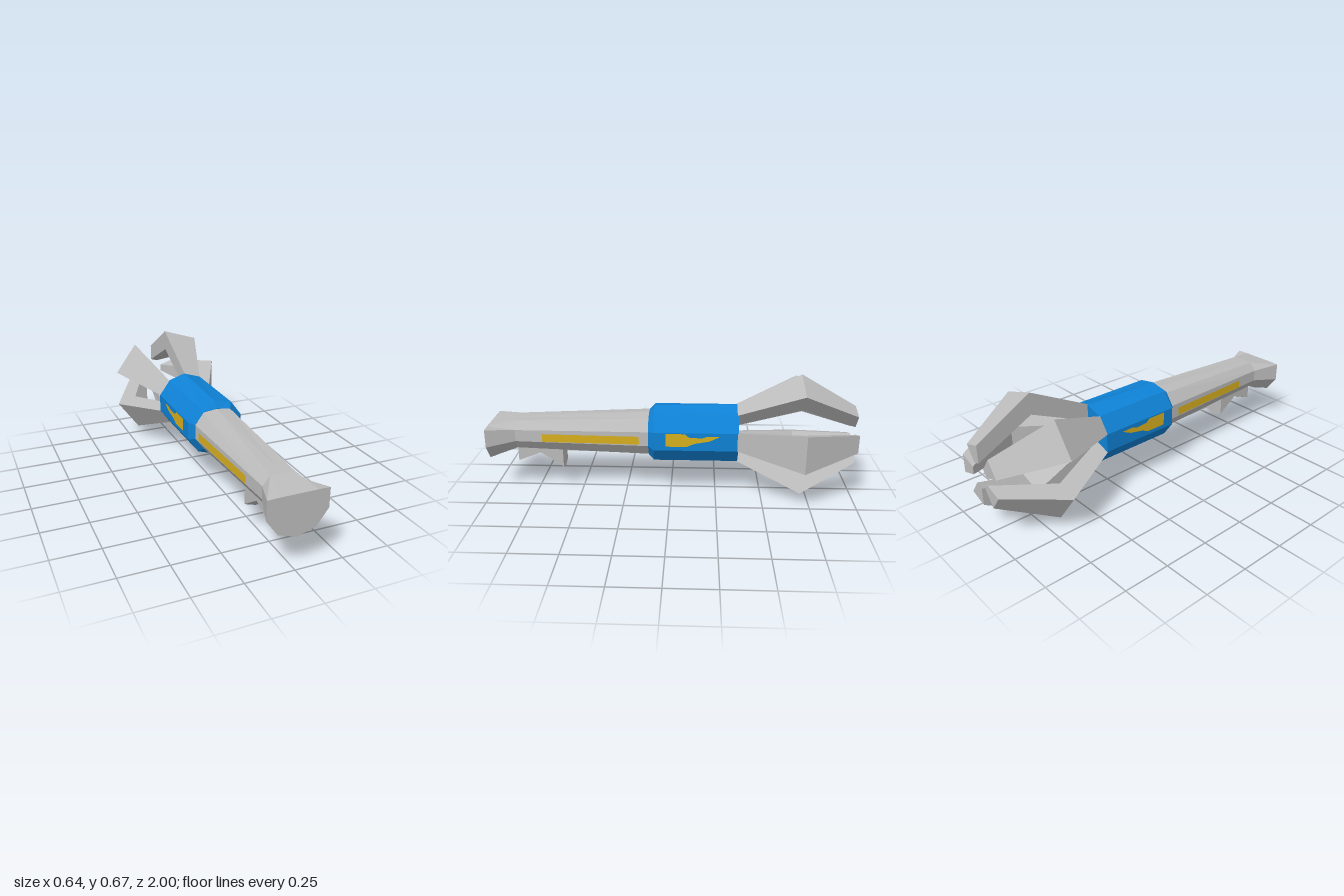
import * as THREE from 'three';

const CY = 0.339; // height of the long axis
const R = 0.163;  // main ten-sided radius

const flat = (name, color, side = THREE.FrontSide) => {
  const m = new THREE.MeshStandardMaterial({ color, side, flatShading: true });
  m.name = name;
  return m;
};

// Skin a list of matching cross-sections (counter-clockwise, front to back) and cap both ends.
function loft(rings) {
  const pos = [];
  const tri = (a, b, c) => pos.push(...a, ...b, ...c);
  const n = rings[0].length;
  for (let r = 0; r < rings.length - 1; r++) {
    const A = rings[r], B = rings[r + 1];
    for (let i = 0; i < n; i++) {
      const j = (i + 1) % n;
      tri(A[i], B[i], A[j]);
      tri(A[j], B[i], B[j]);
    }
  }
  const first = rings[0], last = rings[rings.length - 1];
  for (let i = 1; i < n - 1; i++) {
    tri(first[0], first[i], first[i + 1]);
    tri(last[0], last[i + 1], last[i]);
  }
  const g = new THREE.BufferGeometry();
  g.setAttribute('position', new THREE.Float32BufferAttribute(pos, 3));
  g.computeVertexNormals();
  return g;
}

const polar = (deg, r, z) => {
  const a = THREE.MathUtils.degToRad(deg);
  return [r * Math.cos(a), CY + r * Math.sin(a), z];
};

// Ten-sided section whose top and bottom can be flattened.
function decagon(z, r, top = 9, bottom = -9) {
  return Array.from({ length: 10 }, (_, i) => {
    const [x, y] = polar(18 + 36 * i, r, z);
    return [x, Math.max(bottom, Math.min(top, y)), z];
  });
}

export function createModel() {
  const model = new THREE.Group();
  const grey = flat('grey metal', 0xbcbcbc);
  const blue = flat('blue casing', 0x0f82d6);
  const yellow = flat('yellow marking', 0xd8b01e, THREE.DoubleSide);
  const add = (name, geometry, material) => {
    const mesh = new THREE.Mesh(geometry, material);
    mesh.name = name;
    model.add(mesh);
  };

  // Tapered handle flaring to a flat-topped end
  add('handle', loft([
    decagon(1, R, 0.391),
    decagon(0.85, 0.105, 0.415, 0.245),
    decagon(0.12, 0.13, 0.453),
    decagon(0.09, 0.13, 0.453),
  ]), grey);

  // Casing with a chamfered front edge
  add('casing', loft([
    decagon(0.12, 0.131, 0.455),
    decagon(0.09, R, 0.489),
    decagon(-0.365, R),
  ]), blue);

  // Notched trigger with a keeled underside
  const triggerSection = ([z, y]) => [
    [-0.06, 0.29, z], [-0.06, y, z], [0, y - 0.018, z], [0.06, y, z], [0.06, 0.29, z],
  ];
  add('trigger', loft([[0.85, 0.175], [0.725, 0.225], [0.6, 0.14]].map(triggerSection)), grey);

  // Five wedge-shaped claws bending out and back in
  const clawSections = [[-0.36, 0.068, R], [-0.7, 0.22, 0.337], [-1, 0.068, R]];
  for (let i = 0; i < 5; i++) {
    const lo = 72 * i - 18, hi = 72 * i + 18;
    add('claw' + (i + 1), loft(clawSections.map(([z, inner, outer]) => [
      polar(lo, inner, z), polar(lo, outer, z), polar(hi, outer, z), polar(hi, inner, z),
    ])), grey);
  }

  // Side markings: outlines in (z, y), laid onto the side faces
  const handleMark = [[0.7, 0.308], [0.7, 0.353], [0.17, 0.353], [0.17, 0.308]];
  const casingMark = [
    [0.025, 0.312], [0.025, 0.385], [-0.08, 0.385], [-0.1, 0.366], [-0.17, 0.362],
    [-0.2, 0.373], [-0.265, 0.371], [-0.21, 0.345], [-0.13, 0.33], [-0.09, 0.312],
  ];
  const handleX = z => THREE.MathUtils.mapLinear(z, 0.12, 0.85, 0.1237, 0.0999);
  const casingX = () => R * Math.cos(Math.PI / 10);
  const marking = (outline, surfaceX, side) => {
    const g = new THREE.ShapeGeometry(new THREE.Shape(outline.map(p => new THREE.Vector2(...p))));
    const p = g.attributes.position;
    for (let i = 0; i < p.count; i++) {
      const z = p.getX(i);
      p.setXYZ(i, side * (surfaceX(z) + 0.003), p.getY(i), z);
    }
    g.computeVertexNormals();
    return g;
  };
  for (const [label, side] of [['left', 1], ['right', -1]]) {
    add(label + 'HandleMarking', marking(handleMark, handleX, side), yellow);
    add(label + 'CasingMarking', marking(casingMark, casingX, side), yellow);
  }

  return model;
}
